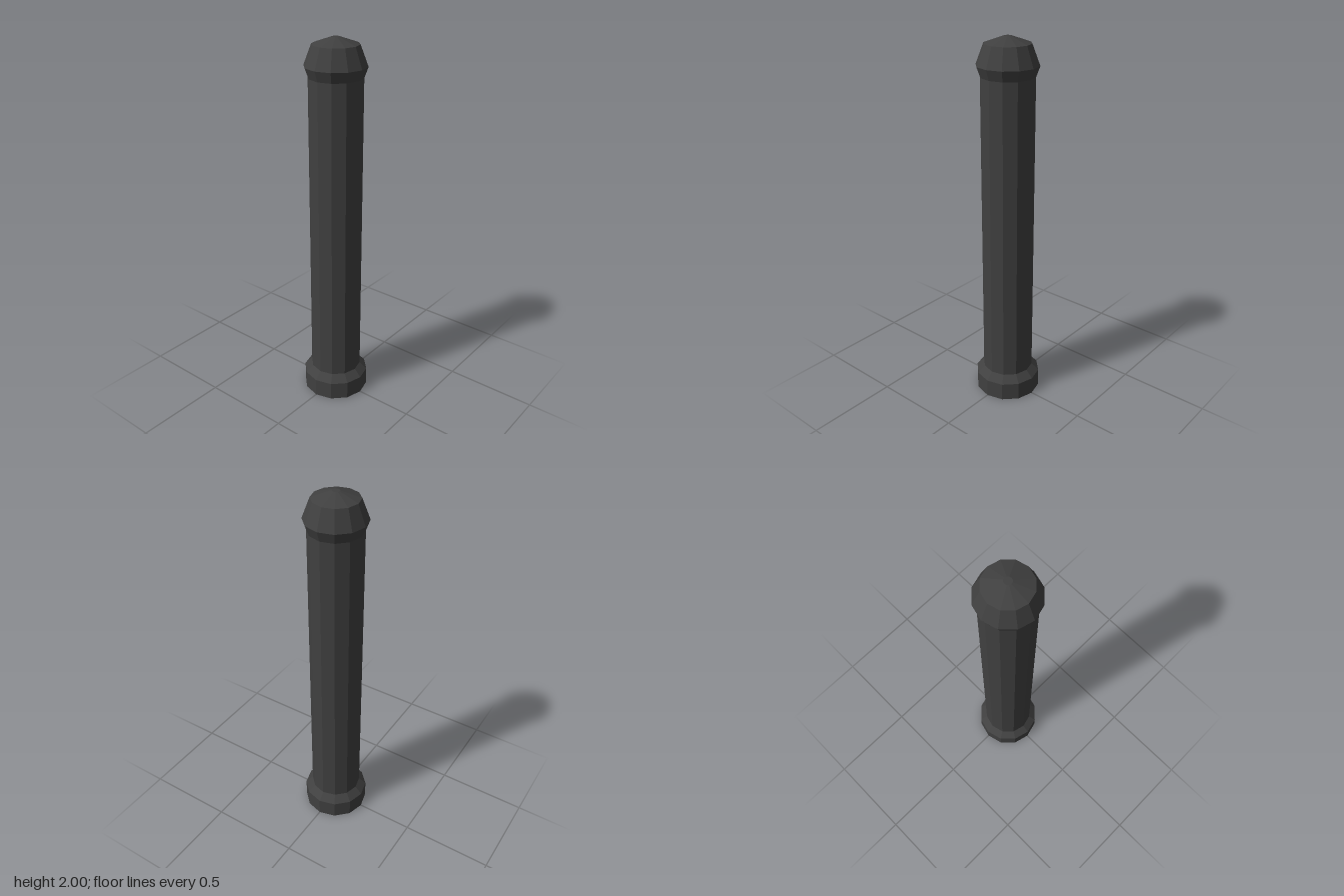
import * as THREE from 'three';

const SIDES = 12;

export function createModel() {
  const model = new THREE.Group();
  model.name = 'bollard';
  const material = new THREE.MeshStandardMaterial({ color: 0x404040, flatShading: true });

  // Each part is a twelve-sided turned profile of [radius, height], bottom to top
  const addTurned = (name, profile) => {
    const points = profile.map(([r, y]) => new THREE.Vector2(r, y));
    const mesh = new THREE.Mesh(new THREE.LatheGeometry(points, SIDES), material);
    mesh.name = name;
    model.add(mesh);
  };

  // Foot with a closed underside and a chamfered upper edge
  addTurned('base', [[0, 0], [0.18, 0], [0.18, 0.1], [0.14, 0.14]]);

  // Straight post
  addTurned('shaft', [[0.14, 0.14], [0.14, 1.805]]);

  // Flared head with a shallow cone and a tiny flat tip
  addTurned('cap', [[0.14, 1.805], [0.16, 1.86], [0.12, 1.965], [0.02, 2], [0, 2]]);

  return model;
}
